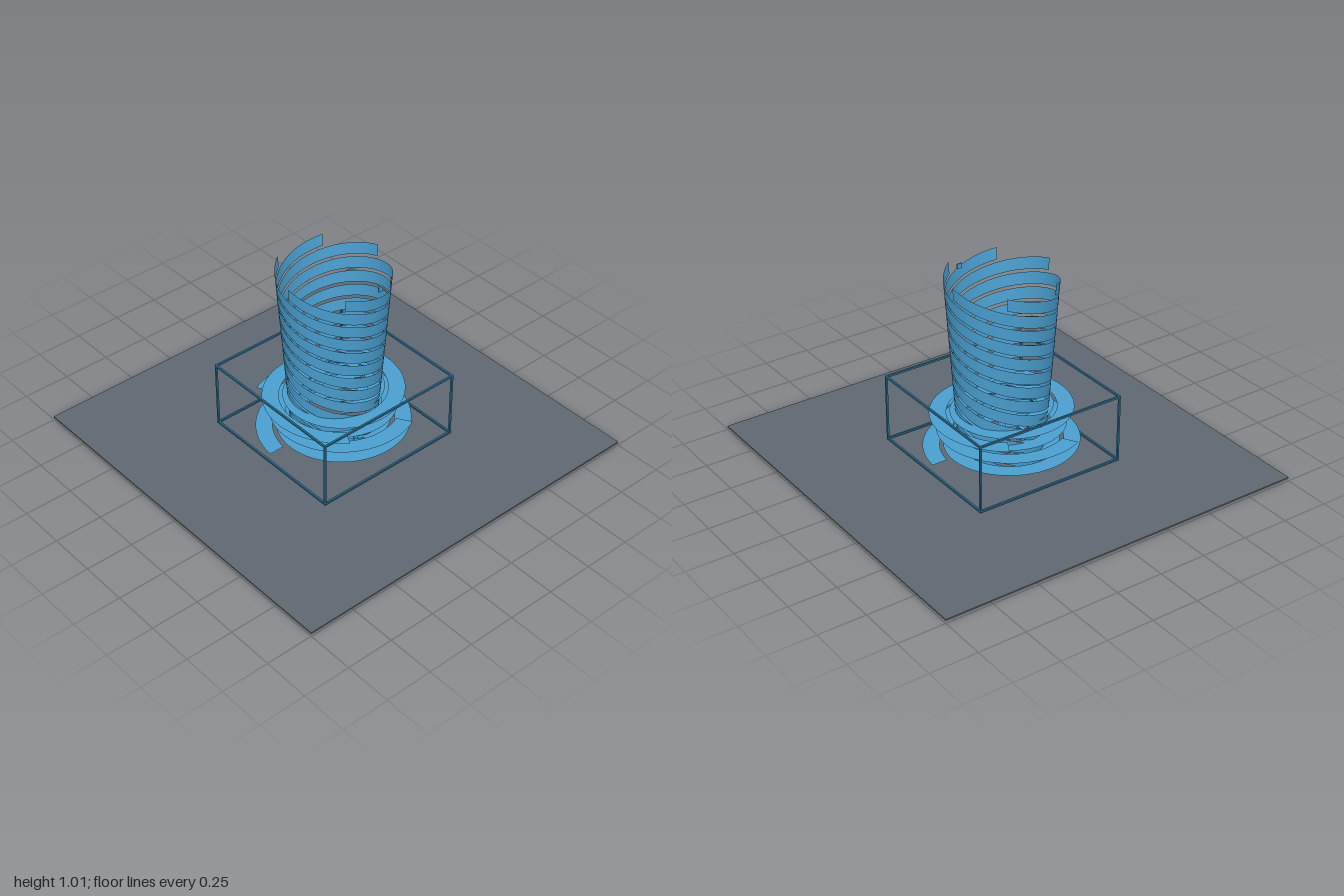
import * as THREE from 'three';

const TAU = Math.PI * 2;

// Open strip swept between two edge curves; edges(t) returns [pointA, pointB]
function ribbon(edges, steps) {
  const pos = [], index = [];
  for (let i = 0; i <= steps; i++) {
    const [a, b] = edges(i / steps);
    pos.push(...a, ...b);
    if (i < steps) {
      const k = i * 2;
      index.push(k, k + 1, k + 2, k + 1, k + 3, k + 2);
    }
  }
  const g = new THREE.BufferGeometry();
  g.setAttribute('position', new THREE.Float32BufferAttribute(pos, 3));
  g.setIndex(index);
  g.computeVertexNormals();
  return g;
}

const polar = (r, angle, y) => [r * Math.cos(angle), y, r * Math.sin(angle)];

export function createModel() {
  const model = new THREE.Group();
  model.name = 'spiralTower';

  const blue = new THREE.MeshStandardMaterial({ color: 0x4a9fd0, side: THREE.DoubleSide });
  blue.name = 'ribbon blue';
  const frameBlue = new THREE.MeshStandardMaterial({ color: 0x2c6c8e });
  frameBlue.name = 'frame blue';
  const grey = new THREE.MeshStandardMaterial({ color: 0x5e6870 });
  grey.name = 'slate grey';

  const add = (parent, name, geometry, material, x = 0, y = 0, z = 0) => {
    const mesh = new THREE.Mesh(geometry, material);
    mesh.name = name;
    mesh.position.set(x, y, z);
    parent.add(mesh);
    return mesh;
  };
  const group = (name) => {
    const g = new THREE.Group();
    g.name = name;
    model.add(g);
    return g;
  };

  // Base plate and the small block at its centre
  add(model, 'basePlate', new THREE.BoxGeometry(2, 0.008, 2), grey, 0, 0.017, 0);
  add(model, 'centreBlock', new THREE.BoxGeometry(0.07, 0.06, 0.07), grey, 0, 0.05, 0);

  // Flaring tower: six helical ribbons, two turns each
  const tower = group('tower');
  const height = 0.064, top = 1.008;
  const towerRadius = (y) => 0.211 + 0.069 * y;
  for (let k = 0; k < 6; k++) {
    const start = (k * TAU) / 6;
    add(tower, 'towerRibbon', ribbon((t) => {
      const angle = start - 2 * TAU * t;
      const high = top - (top - height) * t;
      const low = high - height;
      return [polar(towerRadius(high), angle, high), polar(towerRadius(low), angle, low)];
    }, 128), blue);
  }

  // Three levels of flat spiral vanes, two opposite arms on each
  const vanes = group('vanes');
  const width = 0.085;
  [[0.085, 0], [0.178, TAU / 6], [0.266, TAU / 3]].forEach(([level, turn]) => {
    for (const half of [0, Math.PI]) {
      add(vanes, 'spiralVane', ribbon((t) => {
        const angle = turn + half + TAU * t;
        const outer = 0.41 - 0.205 * t;
        const y = level + 0.017 * t;
        return [polar(outer - width, angle, y), polar(outer, angle, y)];
      }, 72), blue);
    }
  });

  // Square outline frame around the vanes
  const frame = group('frame');
  const bar = 0.01, side = 0.408, low = 0.036, high = 0.389;
  for (const s of [-side, side]) {
    for (const y of [low, high]) {
      add(frame, 'frameRail', new THREE.BoxGeometry(2 * side + bar, bar, bar), frameBlue, 0, y, s);
      add(frame, 'frameRail', new THREE.BoxGeometry(bar, bar, 2 * side - bar), frameBlue, s, y, 0);
    }
    for (const z of [-side, side]) {
      add(frame, 'framePost', new THREE.BoxGeometry(bar, high - low, bar), frameBlue, s, (low + high) / 2, z);
    }
  }

  // Tiny drifting chips
  const chips = group('chips');
  const chip = new THREE.BoxGeometry(0.025, 0.025, 0.008);
  [
    [-0.1, 0.06, 0.24], [0.03, 0.1, 0.27], [-0.06, 0.15, 0.23], [0.12, 0.06, 0.19],
    [0.05, 0.24, -0.25], [-0.04, 0.275, -0.26], [0.08, 0.97, 0.24],
  ].forEach((p) => add(chips, 'chip', chip, blue, ...p));

  return model;
}
